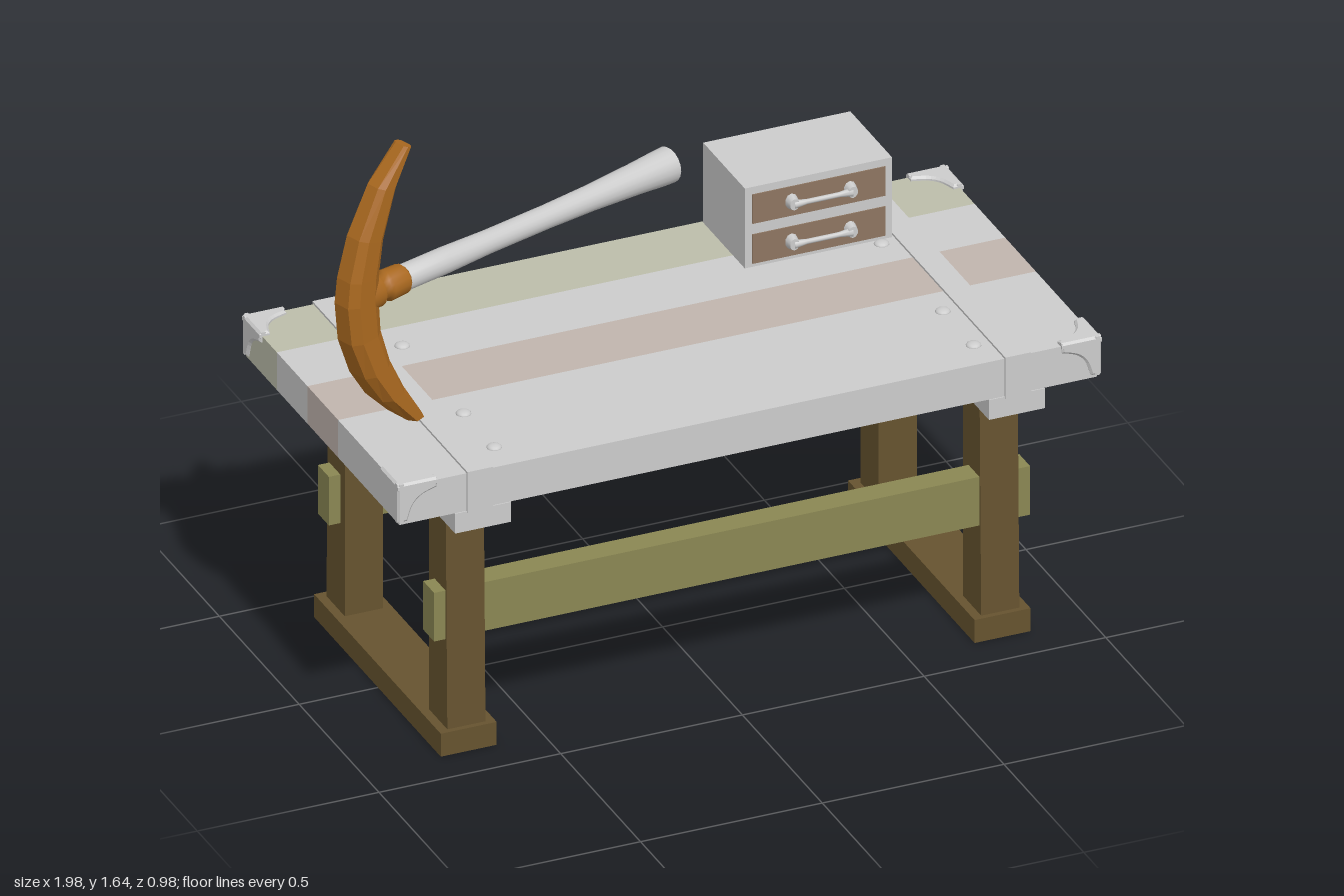
import * as THREE from 'three';

const mat = (color, extra = {}) => new THREE.MeshStandardMaterial({ color, ...extra });
const GREY = mat(0xcccccc);
const OLIVE_PLANK = mat(0xbcbdaa);
const BROWN_PLANK = mat(0xc0b4ad);
const DARK_WOOD = mat(0x66532f);
const OLIVE_WOOD = mat(0x8a8753);
const DRAWER_WOOD = mat(0x8d7561);
const RUST = mat(0xa9681f);

function add(parent, name, geometry, material = GREY) {
  const mesh = new THREE.Mesh(geometry, material);
  mesh.name = name;
  parent.add(mesh);
  return mesh;
}

// Box given by its limits on each axis
function box(parent, name, [x0, x1], [y0, y1], [z0, z1], material) {
  const geo = new THREE.BoxGeometry(x1 - x0, y1 - y0, z1 - z0);
  geo.translate((x0 + x1) / 2, (y0 + y1) / 2, (z0 + z1) / 2);
  return add(parent, name, geo, material);
}

// Metal corner cap: one curved plate turned onto three faces
function cornerCap() {
  const cap = new THREE.Group();
  cap.name = 'cornerCap';
  const b = 0.006;
  const s = new THREE.Shape();
  s.moveTo(-b, -b);
  s.lineTo(-0.104, -b);
  s.lineTo(-0.104, -0.024);
  s.lineTo(-0.084, -0.03);
  s.quadraticCurveTo(-0.042, -0.042, -0.03, -0.084);
  s.lineTo(-0.024, -0.104);
  s.lineTo(-b, -0.104);
  s.closePath();
  const geo = new THREE.ExtrudeGeometry(s, {
    depth: 0.01, bevelSize: b, bevelThickness: b, bevelSegments: 1, curveSegments: 6,
  });
  geo.translate(0, 0, -0.016);
  const axis = new THREE.Vector3(1, 1, 1).normalize();
  for (let k = 0; k < 3; k++) {
    add(cap, 'capPlate', geo).quaternion.setFromAxisAngle(axis, k * Math.PI * 2 / 3);
  }
  return cap;
}

function tableTop() {
  const top = new THREE.Group();
  top.name = 'tableTop';
  const planks = [OLIVE_PLANK, GREY, BROWN_PLANK, GREY, GREY];
  planks.forEach((m, i) => {
    const z = -0.48 + i * 0.192;
    box(top, 'plank', [-0.935, 0.985], [0.745, 0.853], [z, z + 0.192], m);
  });
  for (const x of [-0.715, 0.765]) {
    // strap over the top and down both edges
    box(top, 'strap', [x - 0.035, x + 0.035], [0.74, 0.859], [-0.486, 0.486]);
  }
  const bolt = new THREE.SphereGeometry(0.02, 12, 5, 0, Math.PI * 2, 0, Math.PI / 2);
  bolt.scale(1, 0.5, 1);
  for (const x of [-0.632, 0.687]) {
    for (const z of [-0.384, -0.192, 0.192, 0.384]) {
      add(top, 'bolt', bolt).position.set(x, 0.853, z);
    }
  }
  [[1, 1], [1, -1], [-1, -1], [-1, 1]].forEach(([sx, sz], i) => {
    const cap = cornerCap();
    cap.position.set(0.026 + sx * 0.969, 0.864, sz * 0.488);
    cap.rotation.y = i * Math.PI / 2;
    top.add(cap);
  });
  return top;
}

function trestles() {
  const frame = new THREE.Group();
  frame.name = 'trestles';
  for (const x of [-0.706, 0.763]) {
    box(frame, 'crossBeam', [x - 0.077, x + 0.077], [0.688, 0.745], [-0.488, 0.483]);
    box(frame, 'foot', [x - 0.077, x + 0.077], [0, 0.066], [-0.4, 0.393], DARK_WOOD);
    for (const side of [1, -1]) {
      // leg whose outer face leans in slightly toward the top
      const geo = new THREE.BoxGeometry(0.105, 0.624, 0.115);
      const p = geo.attributes.position;
      for (let i = 0; i < p.count; i++) {
        if (p.getY(i) > 0 && p.getZ(i) * side > 0) p.setZ(i, p.getZ(i) - side * 0.01);
      }
      geo.computeVertexNormals();
      add(frame, 'leg', geo, DARK_WOOD).position.set(x, 0.377, side * 0.321);
    }
  }
  for (const z of [0.333, -0.326]) {
    box(frame, 'stretcher', [-0.79, 0.85], [0.32, 0.46], [z - 0.034, z + 0.034], OLIVE_WOOD);
  }
  return frame;
}

function drawerBox() {
  const chest = new THREE.Group();
  chest.name = 'drawerBox';
  box(chest, 'cabinet', [0.32, 0.725], [0.853, 1.083], [-0.474, -0.213]);
  for (const y of [0.905, 1.02]) {
    box(chest, 'drawerFront', [0.34, 0.706], [y - 0.042, y + 0.042], [-0.23, -0.21], DRAWER_WOOD);
    // handle: two bosses joined by a bar thinnest in the middle
    for (const x of [0.447, 0.608]) {
      const boss = add(chest, 'handleBoss', new THREE.CylinderGeometry(0.013, 0.018, 0.022, 10));
      boss.rotation.x = Math.PI / 2;
      boss.scale.z = 1.25;
      boss.position.set(x, y, -0.2);
    }
    const profile = [[0, -0.08], [0.012, -0.08], [0.007, -0.045], [0.007, 0.045], [0.012, 0.08], [0, 0.08]];
    const bar = add(chest, 'handleBar',
      new THREE.LatheGeometry(profile.map(([r, h]) => new THREE.Vector2(r, h)), 8));
    bar.rotation.z = Math.PI / 2;
    bar.position.set(0.5275, y - 0.002, -0.196);
  }
  return chest;
}

// Pick head lofted from octagonal sections: [outer x, outer y, inner x, inner y, width]
function pickHead() {
  const sections = [
    [0.2, 1.642, 0.222, 1.638, 0.05], [0.108, 1.555, 0.168, 1.535, 0.064],
    [0.04, 1.43, 0.122, 1.405, 0.076], [0.008, 1.32, 0.106, 1.31, 0.082],
    [0, 1.25, 0.104, 1.25, 0.084], [0.012, 1.14, 0.11, 1.15, 0.088],
    [0.055, 1.03, 0.138, 1.055, 0.1], [0.112, 0.945, 0.182, 0.965, 0.112],
    [0.192, 0.865, 0.238, 0.875, 0.125],
  ];
  // (fraction from outer to inner, fraction of half width)
  const ring = [[0, -0.6], [0, 0.6], [0.25, 1], [0.75, 1], [1, 0.6], [1, -0.6], [0.75, -1], [0.25, -1]];
  const pos = [];
  const idx = [];
  const n = ring.length;
  for (const [ox, oy, ix, iy, w] of sections) {
    for (const [t, u] of ring) pos.push(ox + (ix - ox) * t, oy + (iy - oy) * t, u * w / 2);
  }
  for (let i = 0; i < sections.length - 1; i++) {
    for (let j = 0; j < n; j++) {
      const a = i * n + j, b = i * n + (j + 1) % n;
      idx.push(a, a + n, b, b, a + n, b + n);
    }
  }
  const last = (sections.length - 1) * n;
  for (let j = 1; j < n - 1; j++) {
    idx.push(0, j, j + 1, last, last + j + 1, last + j);
  }
  const geo = new THREE.BufferGeometry();
  geo.setAttribute('position', new THREE.Float32BufferAttribute(pos, 3));
  geo.setIndex(idx);
  const flat = geo.toNonIndexed();
  flat.computeVertexNormals();
  return flat;
}

// Lathe laid along +x, from [distance, radius] pairs
function turned(points, segments) {
  const geo = new THREE.LatheGeometry(points.map(([d, r]) => new THREE.Vector2(r, d)), segments);
  geo.rotateZ(-Math.PI / 2);
  return geo;
}

function pickaxe() {
  const pick = new THREE.Group();
  pick.name = 'pickaxe';
  add(pick, 'pickHead', pickHead(), mat(0xa9681f, { side: THREE.DoubleSide }));
  const collar = [[0.08, 0], [0.08, 0.044], [0.118, 0.044], [0.124, 0.033], [0.145, 0.033],
    [0.15, 0.042], [0.205, 0.04], [0.212, 0.034], [0.212, 0]];
  add(pick, 'collar', turned(collar, 14), RUST).position.y = 1.253;
  // handle, slightly waisted and flaring at the grip end
  const shaft = [[0.2, 0], [0.2, 0.035], [0.35, 0.035], [0.5, 0.031], [0.7, 0.031], [0.85, 0.034],
    [1, 0.041], [1.09, 0.047], [1.12, 0.048], [1.12, 0.048], [1.12, 0]];
  const handle = add(pick, 'handle', turned(shaft, 18));
  handle.position.y = 1.256;
  handle.rotation.z = -0.016;
  pick.position.set(-0.978, 0, 0.214);
  pick.rotation.y = 0.33;
  return pick;
}

export function createModel() {
  const model = new THREE.Group();
  model.name = 'workbench';
  model.add(tableTop(), trestles(), drawerBox(), pickaxe());
  return model;
}
